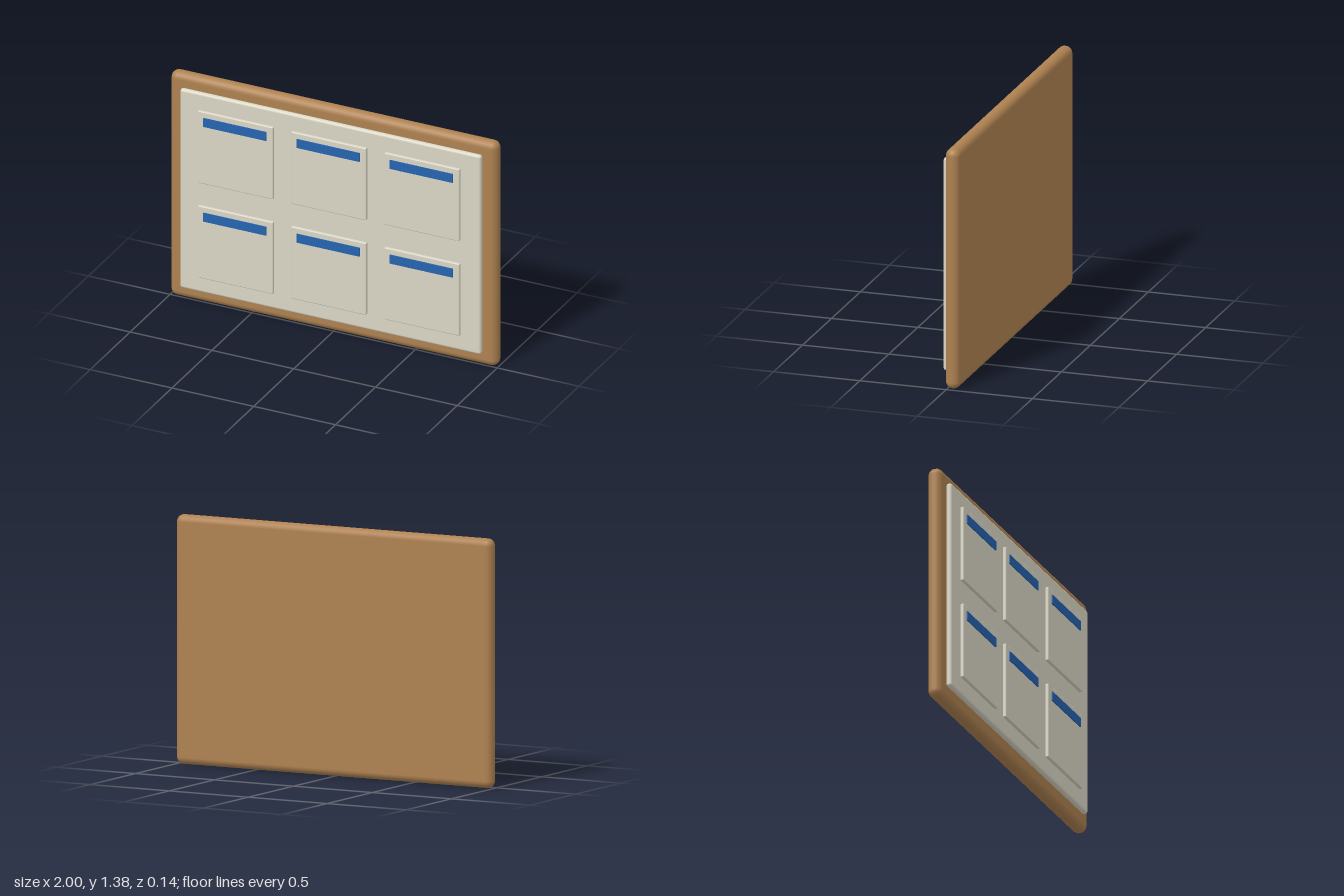
import * as THREE from 'three';
import { RoundedBoxGeometry } from 'three/addons/geometries/RoundedBoxGeometry.js';

export function createModel() {
  const model = new THREE.Group();
  model.name = 'noticeBoard';

  const wood = new THREE.MeshStandardMaterial({ color: 0xae8150 });
  const paper = new THREE.MeshStandardMaterial({ color: 0xdad6c5 });
  const blue = new THREE.MeshStandardMaterial({ color: 0x2563b0 });

  // Places a geometry of the given depth so that its front lies at z = front
  function add(parent, name, geometry, material, x, y, front, depth) {
    const mesh = new THREE.Mesh(geometry, material);
    mesh.name = name;
    mesh.position.set(x, y, front - depth / 2);
    parent.add(mesh);
  }

  // Wooden backing with full rounded edges
  add(model, 'backing', new RoundedBoxGeometry(2, 1.385, 0.083, 3, 0.04), wood, 0, 0.6925, 0.012, 0.083);

  // Pale panel on the front
  add(model, 'panel', new RoundedBoxGeometry(1.84, 1.23, 0.034, 3, 0.015), paper, 0, 0.695, 0.045, 0.034);

  // Two rows of three cards, each with a blue header strip
  const cardGeometry = new RoundedBoxGeometry(0.46, 0.445, 0.021, 2, 0.006);
  const stripGeometry = new THREE.BoxGeometry(0.385, 0.053, 0.01);
  for (const y of [0.988, 0.402]) {
    for (const x of [-0.57, 0, 0.57]) {
      const card = new THREE.Group();
      card.name = 'card';
      card.position.set(x, y, 0);
      add(card, 'cardSheet', cardGeometry, paper, 0, 0, 0.065, 0.021);
      add(card, 'headerStrip', stripGeometry, blue, 0, 0.162, 0.072, 0.01);
      model.add(card);
    }
  }

  return model;
}
